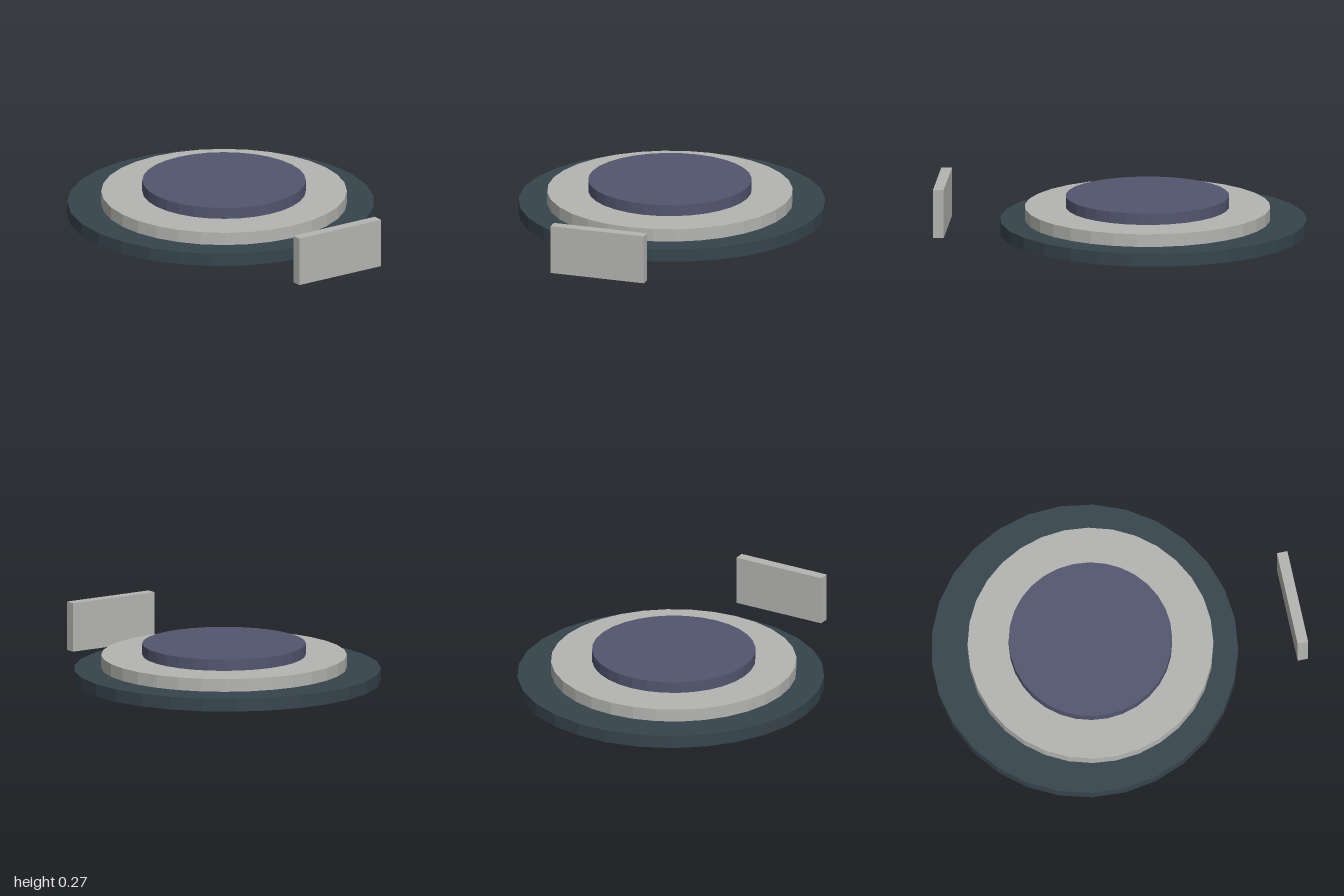
import * as THREE from 'three';

const material = (name, color) => {
  const m = new THREE.MeshStandardMaterial({ color, flatShading: true });
  m.name = name;
  return m;
};

export function createModel() {
  const model = new THREE.Group();
  model.name = 'tieredPlatform';
  const slate = material('dark slate', 0x36444d);
  const grey = material('light grey', 0xb4b4b2);
  const violet = material('muted violet', 0x53556f);

  const add = (name, geometry, mat, x, y, z) => {
    const mesh = new THREE.Mesh(geometry, mat);
    mesh.name = name;
    mesh.position.set(x, y, z);
    model.add(mesh);
  };

  // Stacked discs: name, radius, bottom, top, z centre, sides, material
  const tiers = [
    ['baseDisc', 0.83, 0, 0.07, -0.174, 29, slate],
    ['middleDisc', 0.664, 0.07, 0.14, -0.142, 32, grey],
    ['topDisc', 0.442, 0.14, 0.202, -0.142, 32, violet],
  ];
  for (const [name, r, y0, y1, z, sides, mat] of tiers) {
    add(name, new THREE.CylinderGeometry(r, r, y1 - y0, sides), mat, 0, (y0 + y1) / 2, z);
  }

  // Upright panel standing apart in front
  add('frontPanel', new THREE.BoxGeometry(0.533, 0.267, 0.058), grey, -0.018, 0.1335, 0.971);
  return model;
}
